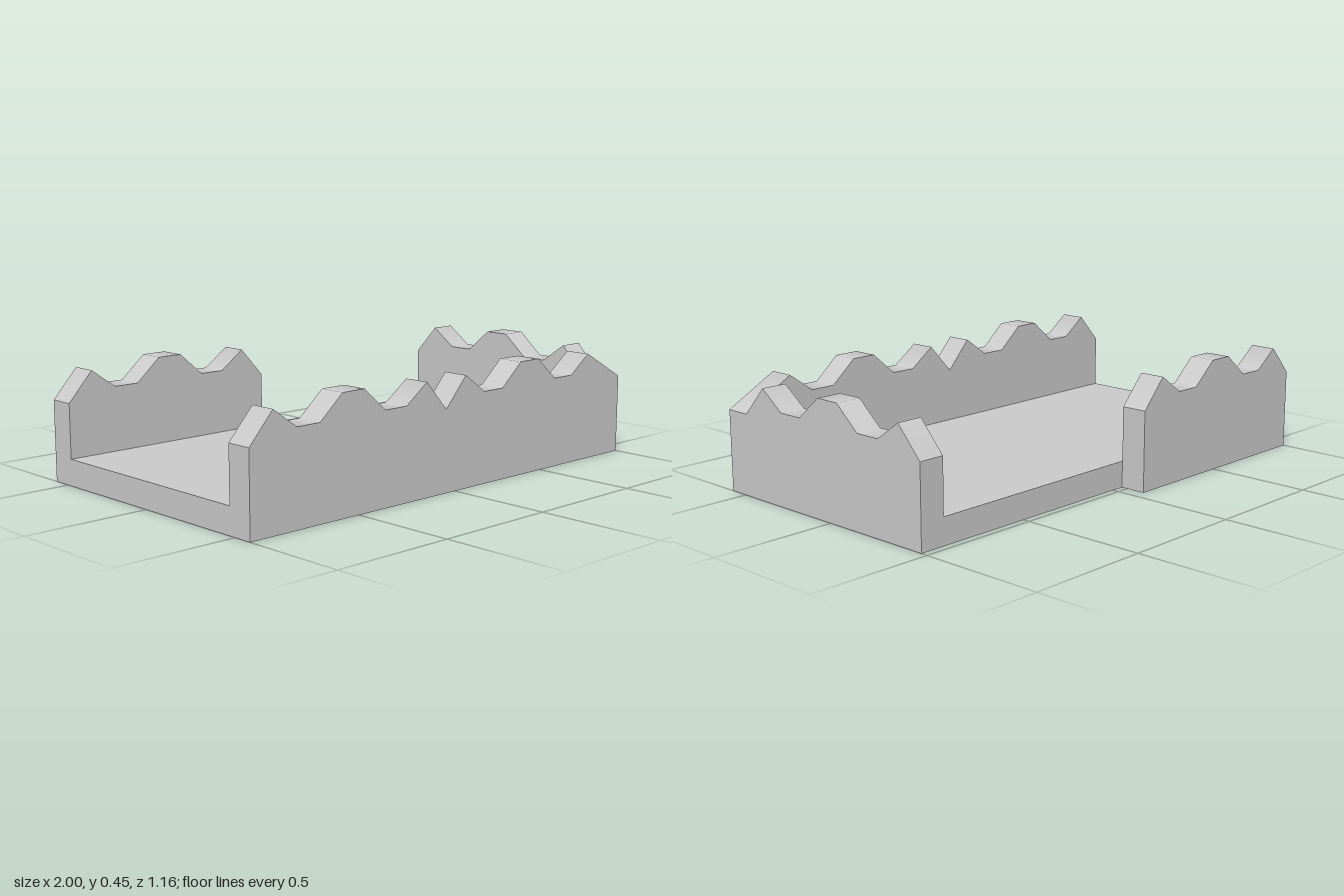
import * as THREE from 'three';

const S = 2 / 19;            // module: wall thickness and crest step
const HALF = 5.5 * S;        // half depth
const FLOOR = 0.105;         // floor thickness

// Rubble crest heights, one per step
const CREST = [0.32, 0.435, 0.36, 0.36, 0.45, 0.45, 0.36, 0.36, 0.435, 0.32];
const crest = (x0) => CREST.map((y, i) => [x0 + i * S, y]);

// Soften the shading along the crest only; the sides and ends stay flat
function softenCrest(geometry) {
  const g = geometry.index ? geometry.toNonIndexed() : geometry;
  g.computeVertexNormals();
  const p = g.attributes.position;
  const n = g.attributes.normal;
  const groups = new Map();
  for (let i = 0; i < p.count; i++) {
    if (n.getY(i) < 0.1) continue;
    const key = `${p.getX(i).toFixed(3)},${p.getY(i).toFixed(3)}`;
    if (!groups.has(key)) groups.set(key, []);
    groups.get(key).push({ i, normal: new THREE.Vector3().fromBufferAttribute(n, i) });
  }
  for (const list of groups.values()) {
    for (const { i, normal } of list) {
      const unique = [];
      for (const { normal: other } of list) {
        if (normal.dot(other) > 0.08 && !unique.some((u) => u.dot(other) > 0.999)) unique.push(other);
      }
      const sum = new THREE.Vector3();
      unique.forEach((u) => sum.add(u));
      sum.normalize();
      n.setXYZ(i, sum.x, sum.y, sum.z);
    }
  }
  return g;
}

export function createModel() {
  const group = new THREE.Group();
  const material = new THREE.MeshStandardMaterial({ color: 0xcccccc });

  const add = (name, geometry) => {
    const mesh = new THREE.Mesh(geometry, material);
    mesh.name = name;
    group.add(mesh);
    return mesh;
  };

  // Broken wall: crest outline closed down to the ground, one module thick
  const addWall = (name, top) => {
    const outline = [[top[0][0], 0], [top[top.length - 1][0], 0], ...[...top].reverse()];
    const shape = new THREE.Shape(outline.map(([x, y]) => new THREE.Vector2(x, y)));
    const geometry = new THREE.ExtrudeGeometry(shape, { depth: S, bevelEnabled: false });
    return add(name, softenCrest(geometry));
  };

  // Floor slab between the walls
  const floor = new THREE.BoxGeometry(2 - S, FLOOR, 9 * S);
  floor.translate(-S / 2, FLOOR / 2, 0);
  add('floor', floor);

  // Long front wall: two crest runs, the second sloping down to the corner
  const second = crest(-1 + 9 * S).slice(1, -1);
  addWall('frontWall', [...crest(-1), ...second, [1, 0.32]]).position.z = HALF - S;

  // Short back wall
  addWall('backWall', crest(-1)).position.z = -HALF;

  // End wall, turned across the floor
  const endWall = addWall('endWall', crest(-4.5 * S));
  endWall.rotation.y = Math.PI / 2;
  endWall.position.x = 1 - S;

  return group;
}
